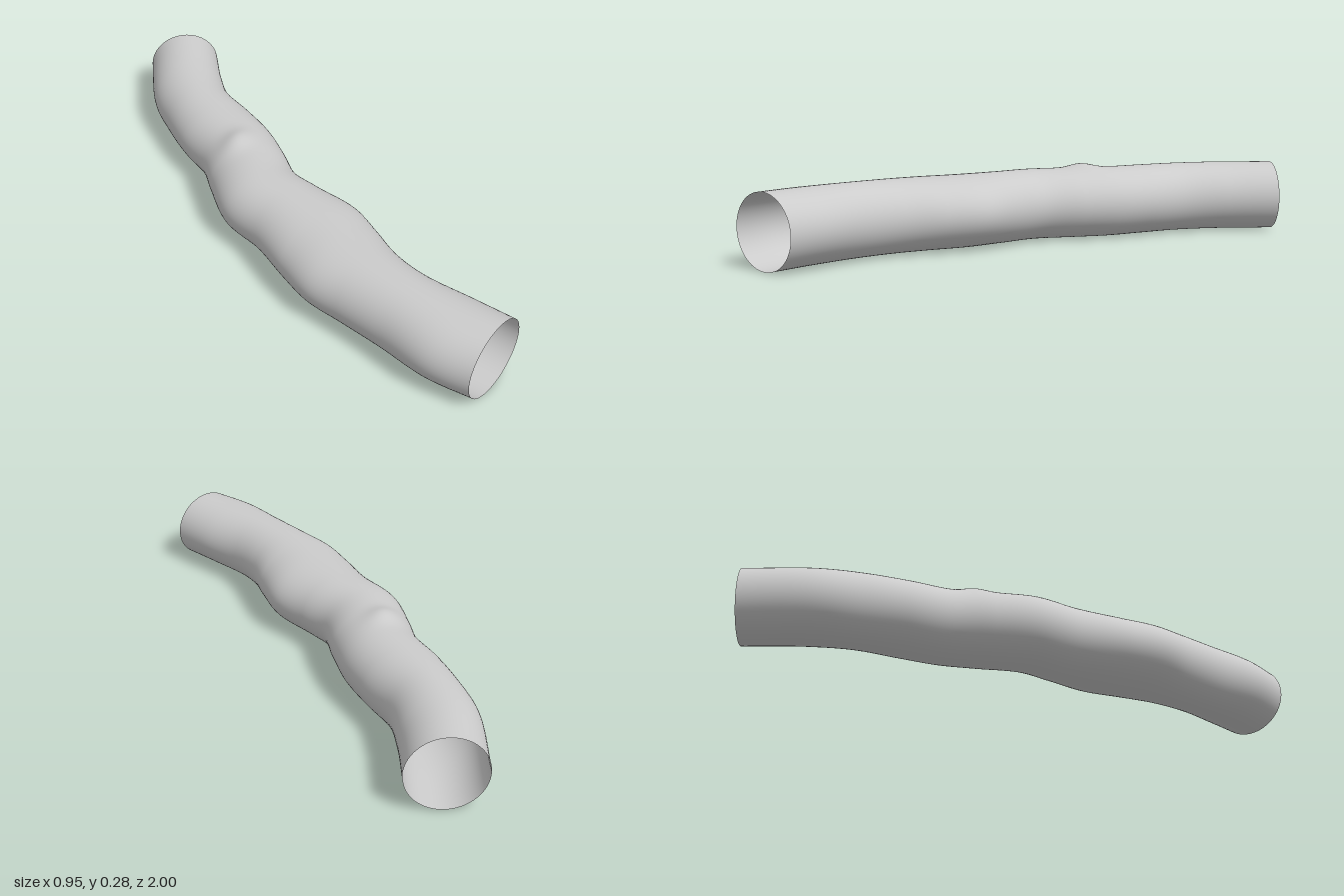
import * as THREE from 'three';
import { ParametricGeometry } from 'three/addons/geometries/ParametricGeometry.js';

const HALF_HEIGHT = 0.131;

// Side outlines of the tube from front to back: [right x, right z, left x, left z]
const STATIONS = [
  [-0.463, 1, -0.167, 1],
  [-0.48, 0.84, -0.167, 0.85],
  [-0.455, 0.65, -0.172, 0.66],
  [-0.443, 0.48, -0.14, 0.526],
  [-0.437, 0.345, -0.077, 0.4],
  [-0.395, 0.215, -0.02, 0.267],
  [-0.325, 0.04, -0.013, 0.108],
  [-0.288, -0.13, 0.003, -0.013],
  [-0.198, -0.27, 0.082, -0.14],
  [-0.12, -0.38, 0.15, -0.26],
  [-0.066, -0.53, 0.2, -0.394],
  [0.0, -0.665, 0.25, -0.553],
  [0.082, -0.807, 0.347, -0.685],
  [0.27, -1, 0.475, -0.823],
];

function outline(k) {
  return new THREE.CatmullRomCurve3(
    STATIONS.map((s) => new THREE.Vector3(s[k], HALF_HEIGHT, s[k + 1])));
}

export function createModel() {
  const group = new THREE.Group();
  group.name = 'windingTube';

  const sideA = outline(0);
  const sideB = outline(2);
  const a = new THREE.Vector3();
  const b = new THREE.Vector3();

  // Elliptical rings spanning the two outlines, with a slight swelling on top
  const surface = (u, v, target) => {
    const angle = -u * Math.PI * 2;
    sideA.getPoint(v, a);
    sideB.getPoint(v, b);
    target.lerpVectors(a, b, 0.5 + 0.5 * Math.cos(angle));
    target.y = HALF_HEIGHT * (1 + Math.sin(angle));
    if (target.y > HALF_HEIGHT) {
      const dx = (target.x + 0.06) / 0.07;
      const dz = (target.z + 0.26) / 0.05;
      target.y += 0.016 * Math.exp(-dx * dx - dz * dz) * Math.sin(angle);
    }
  };

  // Open-ended thin shell
  const tube = new THREE.Mesh(
    new ParametricGeometry(surface, 64, 140),
    new THREE.MeshStandardMaterial({ color: 0xcccccc, side: THREE.DoubleSide }));
  tube.name = 'tubeShell';
  group.add(tube);
  return group;
}
